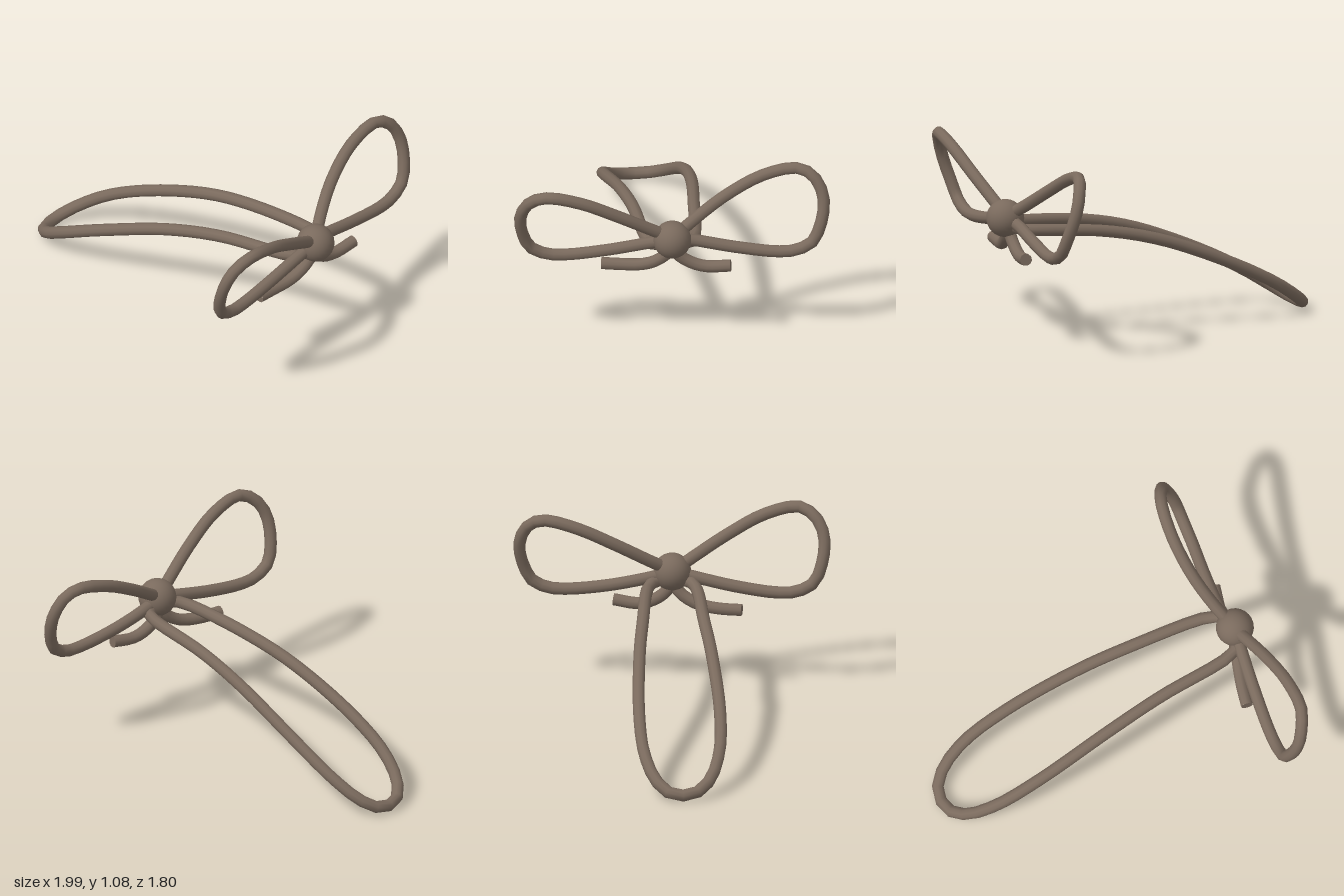
import * as THREE from 'three';

const V = (p) => new THREE.Vector3(...p);

export function createModel() {
  const group = new THREE.Group();
  const cord = new THREE.MeshStandardMaterial({ color: 0x7a6a5d });
  cord.name = 'brown cord';
  const radius = 0.035;

  // Smooth cord through a few points, with flat discs closing both ends
  function addCord(name, points, segments) {
    const curve = new THREE.CatmullRomCurve3(points.map(V));
    const part = new THREE.Group();
    part.name = name;
    const tube = new THREE.Mesh(new THREE.TubeGeometry(curve, segments, radius, 10), cord);
    tube.name = name + 'Cord';
    part.add(tube);
    for (const t of [0, 1]) {
      const cap = new THREE.Mesh(new THREE.CircleGeometry(radius, 10), cord);
      cap.name = name + 'End';
      const out = curve.getTangent(t).multiplyScalar(t ? 1 : -1);
      cap.position.copy(curve.getPoint(t));
      cap.quaternion.setFromUnitVectors(new THREE.Vector3(0, 0, 1), out);
      part.add(cap);
    }
    group.add(part);
  }

  // Round knot
  const knot = new THREE.Mesh(new THREE.SphereGeometry(0.108, 24, 16), cord);
  knot.name = 'knot';
  knot.position.set(0.885, 0.695, 0);
  group.add(knot);

  // Long hanging loop
  addCord('longLoop', [
    [0.88, 0.66, -0.05], [0.83, 0.645, -0.12], [0.75, 0.64, -0.147], [0.35, 0.605, -0.188],
    [0, 0.525, -0.222], [-0.45, 0.345, -0.243], [-0.72, 0.205, -0.225], [-0.88, 0.1, -0.165],
    [-0.95, 0.05, -0.09], [-0.965, 0.04, -0.015], [-0.95, 0.05, 0.06], [-0.88, 0.1, 0.14],
    [-0.72, 0.205, 0.2], [-0.45, 0.345, 0.216], [0, 0.525, 0.188], [0.35, 0.605, 0.157],
    [0.75, 0.64, 0.133], [0.83, 0.645, 0.11], [0.88, 0.66, 0.04],
  ], 48);

  // Bow loops, twisted opposite ways
  addCord('frontBowLoop', [
    [0.88, 0.72, 0.03], [0.9, 0.78, 0.125], [0.935, 0.9, 0.32], [0.955, 1.01, 0.53],
    [0.945, 1.055, 0.725], [0.905, 1.01, 0.81], [0.87, 0.93, 0.855], [0.84, 0.84, 0.862],
    [0.805, 0.72, 0.835], [0.793, 0.65, 0.8], [0.793, 0.6, 0.71], [0.8, 0.59, 0.605],
    [0.828, 0.62, 0.365], [0.862, 0.67, 0.125], [0.88, 0.69, 0.03],
  ], 32);
  addCord('backBowLoop', [
    [0.87, 0.72, -0.03], [0.83, 0.78, -0.125], [0.775, 0.9, -0.32], [0.758, 1.01, -0.54],
    [0.785, 1.055, -0.735], [0.82, 1.015, -0.815], [0.852, 0.93, -0.86], [0.88, 0.84, -0.866],
    [0.912, 0.72, -0.835], [0.922, 0.645, -0.795], [0.92, 0.6, -0.71], [0.913, 0.59, -0.61],
    [0.882, 0.62, -0.36], [0.862, 0.67, -0.125], [0.87, 0.69, -0.03],
  ], 32);

  // Short loose tails below the knot
  addCord('frontTail', [
    [0.88, 0.66, 0], [0.865, 0.59, 0.03], [0.845, 0.535, 0.1], [0.825, 0.51, 0.17],
    [0.795, 0.5, 0.27], [0.768, 0.5, 0.39],
  ], 12);
  addCord('backTail', [
    [0.87, 0.66, 0], [0.865, 0.59, -0.03], [0.87, 0.535, -0.1], [0.885, 0.507, -0.19],
    [0.918, 0.52, -0.33],
  ], 12);

  return group;
}
